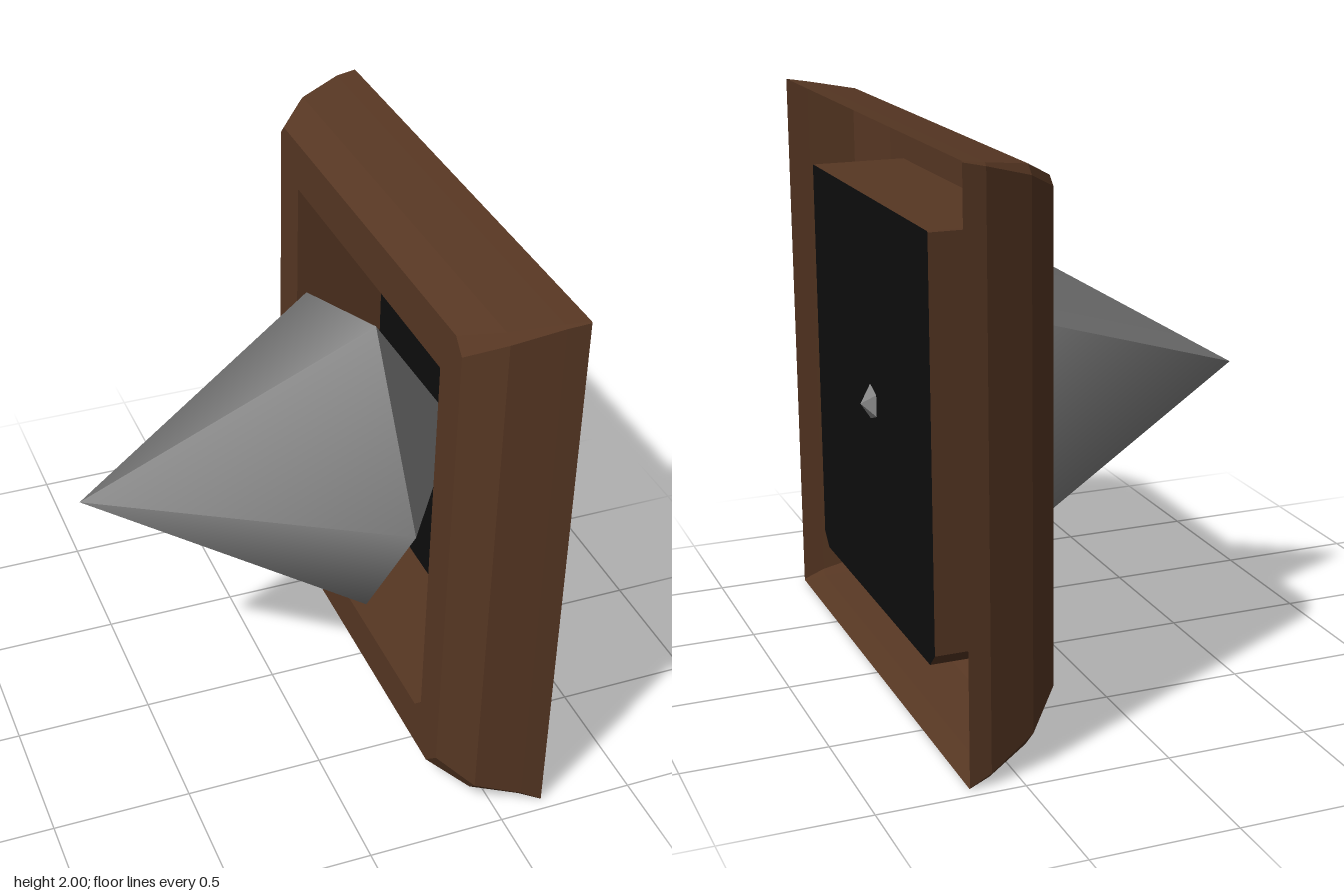
import * as THREE from 'three';

// Rectangle in the plane x, with its four corners cut: [low -z, low +z, high +z, high -z]
function ring(x, z0, z1, y0, y1, [a, b, c, d]) {
  return [
    [x, y0 + a, z0], [x, y0, z0 + a],
    [x, y0, z1 - b], [x, y0 + b, z1],
    [x, y1 - c, z1], [x, y1, z1 - c],
    [x, y1, z0 + d], [x, y1 - d, z0],
  ];
}

// Flat-faced skin joining successive rings
function loft(rings) {
  const pos = [];
  for (let r = 0; r < rings.length - 1; r++) {
    const A = rings[r], B = rings[r + 1], n = A.length;
    for (let i = 0; i < n; i++) {
      const j = (i + 1) % n;
      pos.push(...A[i], ...A[j], ...B[j], ...A[i], ...B[j], ...B[i]);
    }
  }
  const geo = new THREE.BufferGeometry();
  geo.setAttribute('position', new THREE.Float32BufferAttribute(pos, 3));
  geo.computeVertexNormals();
  return geo;
}

export function createModel() {
  const wood = new THREE.MeshStandardMaterial({ color: 0x573723, side: THREE.DoubleSide });
  wood.name = 'brown wood';
  const black = new THREE.MeshStandardMaterial({ color: 0x0d0d0d, side: THREE.DoubleSide });
  black.name = 'black panel';
  const metal = new THREE.MeshStandardMaterial({ color: 0x858585 });
  metal.name = 'grey metal';

  const group = new THREE.Group();
  const add = (name, geo, mat) => {
    const mesh = new THREE.Mesh(geo, mat);
    mesh.name = name;
    group.add(mesh);
    return mesh;
  };

  // Hollow frame: open rim, bevelled sides, flat face, then the walls of the recess
  const recessCorners = [0.05, 0.05, 0.004, 0.004];
  const panelRing = ring(0.668, -0.62, 0.652, 0.265, 1.728, recessCorners);
  add('frame', loft([
    ring(0.674, -0.957, 0.957, 0, 2, [0.004, 0.004, 0.004, 0.004]),
    ring(0.6, -0.957, 0.94, 0.022, 1.99, [0.02, 0.02, 0.01, 0.01]),
    ring(0.435, -0.9, 0.9, 0.055, 1.963, [0.07, 0.04, 0.03, 0.03]),
    ring(0.325, -0.8, 0.8, 0.097, 1.905, [0.13, 0.08, 0.05, 0.03]),
    ring(0.325, -0.62, 0.652, 0.265, 1.728, recessCorners),
    panelRing,
  ]), wood);

  // Panel closing the recess
  const center = panelRing.map(() => [0.668, 1, 0]);
  add('panel', loft([panelRing, center]), black);

  // Five-sided spike, and the shorter pyramid behind it whose tip pierces the panel
  const zScale = 0.583 / 0.635;
  const spikeGeo = new THREE.ConeGeometry(0.635, 1.015, 5, 1, true);
  spikeGeo.rotateZ(Math.PI / 2);
  spikeGeo.scale(1, 1, zScale);
  add('spike', spikeGeo, metal).position.set(-0.2025, 1.008, 0);

  const baseGeo = new THREE.ConeGeometry(0.635, 0.405, 5, 1, true).toNonIndexed();
  baseGeo.rotateZ(-Math.PI / 2);
  baseGeo.scale(1, 1, zScale);
  baseGeo.computeVertexNormals();
  add('spikeBase', baseGeo, metal).position.set(0.5075, 1.008, 0);

  return group;
}
